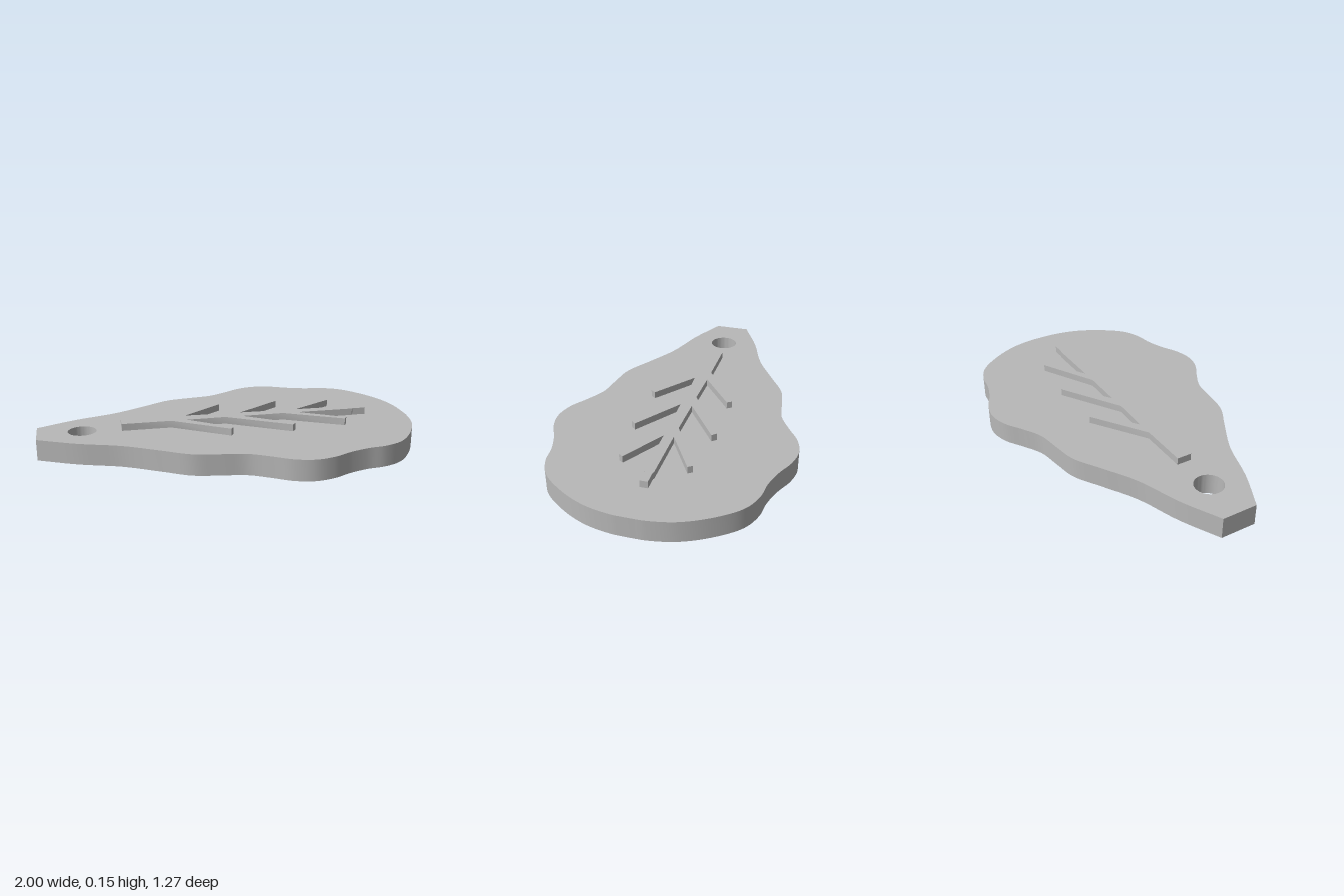
import * as THREE from 'three';
import { toCreasedNormals } from 'three/addons/utils/BufferGeometryUtils.js';

const THICKNESS = 0.11;
const VEIN_HEIGHT = 0.037;

// Mirror half an outline (stem end to tip) across the long axis
function mirrored(half) {
  const other = half.map(([x, y]) => new THREE.Vector2(x, y));
  const lower = half.map(([x, y]) => new THREE.Vector2(x, -y)).reverse();
  return new THREE.Shape([...lower.reverse(), ...other.reverse()]);
}

// Extrude a flat shape upwards from height y
function slab(shape, height, y, material, name) {
  const extruded = new THREE.ExtrudeGeometry(shape, { depth: height, bevelEnabled: false, curveSegments: 32 });
  extruded.rotateX(-Math.PI / 2);
  extruded.translate(0, y, 0);
  const mesh = new THREE.Mesh(toCreasedNormals(extruded, 0.6), material);
  mesh.name = name;
  return mesh;
}

export function createModel() {
  const group = new THREE.Group();
  group.name = 'leafTag';
  const grey = new THREE.MeshStandardMaterial({ color: 0xb8b8b8 });
  grey.name = 'lightGrey';

  // Wavy leaf edge, smoothed through a few points from stem end to tip
  const edge = new THREE.CatmullRomCurve3([
    [-1, 0.093], [-0.8, 0.19], [-0.58, 0.268], [-0.4, 0.37], [-0.26, 0.45],
    [-0.13, 0.475], [0, 0.497], [0.1, 0.55], [0.2, 0.611], [0.3, 0.635],
    [0.4, 0.617], [0.5, 0.57], [0.6, 0.538], [0.7, 0.523], [0.8, 0.475],
    [0.9, 0.355], [0.97, 0.215], [0.998, 0.08], [1, 0.02],
  ].map(([x, y]) => new THREE.Vector3(x, y, 0)), false, 'centripetal');
  const leaf = mirrored(edge.getPoints(108).map((p) => [p.x, p.y]));

  // Round hanging hole near the stem
  const hole = new THREE.Path();
  hole.absarc(-0.768, 0, 0.074, 0, Math.PI * 2, true);
  leaf.holes.push(hole);
  group.add(slab(leaf, THICKNESS, 0, grey, 'leafPlate'));

  // Raised midrib with three pairs of side veins
  const half = [[-0.565, 0.039]];
  const branches = [
    [-0.305, 0.037, -0.022, 0.225, -0.005, 0.2, -0.22, 0.036],
    [-0.015, 0.03, 0.305, 0.223, 0.325, 0.2, 0.08, 0.031],
    [0.305, 0.026, 0.602, 0.183, 0.618, 0.16, 0.39, 0.026],
  ];
  for (const b of branches) {
    for (let i = 0; i < b.length; i += 2) half.push([b[i], b[i + 1]]);
  }
  half.push([0.7, 0.024], [0.705, 0.02], [0.777, 0.02]);
  group.add(slab(mirrored(half), VEIN_HEIGHT, THICKNESS, grey, 'veins'));

  return group;
}
